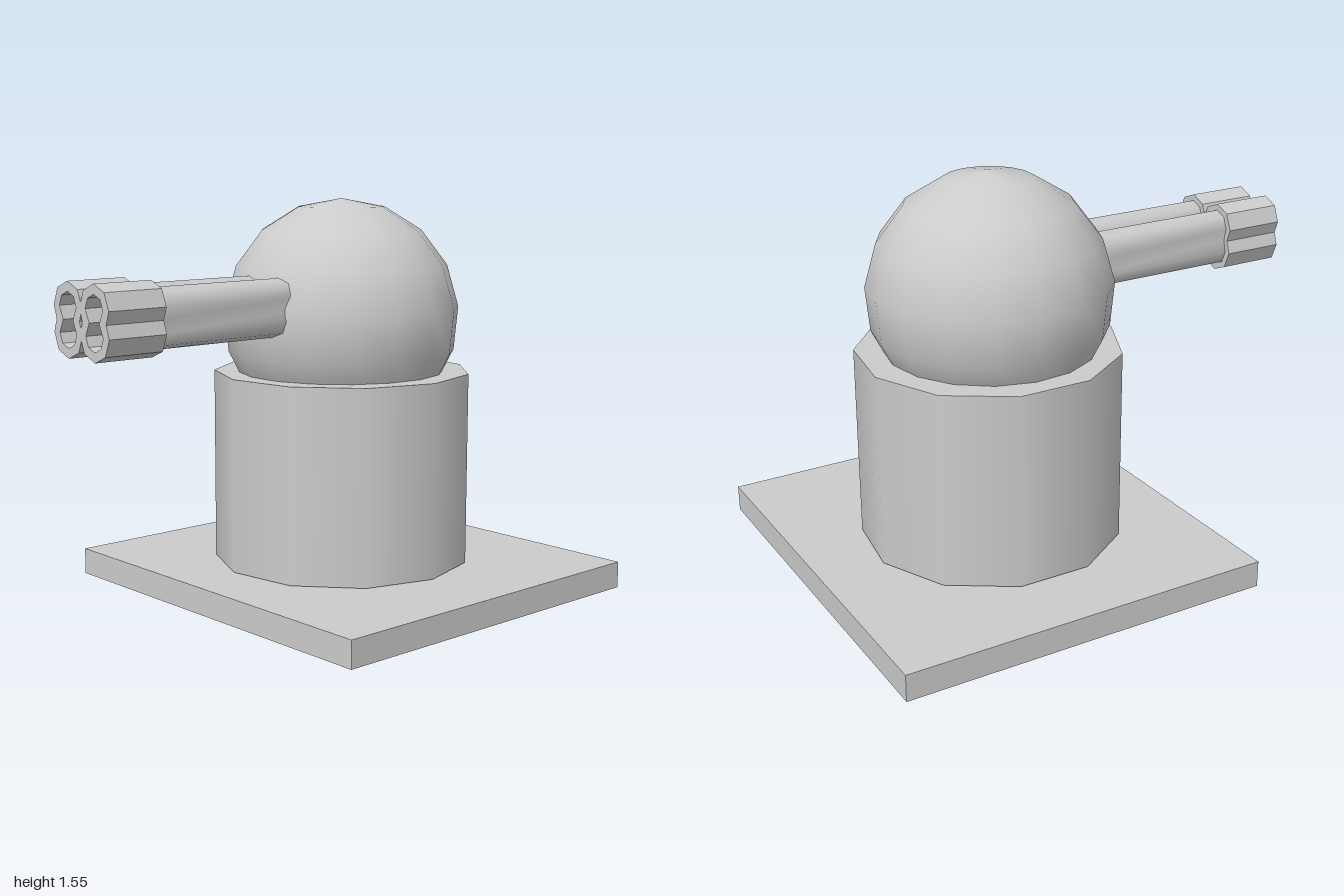
import * as THREE from 'three';
import { toCreasedNormals } from 'three/addons/utils/BufferGeometryUtils.js';

const material = new THREE.MeshStandardMaterial({ color: 0xcccccc });

function addPart(group, name, geometry, x, y, z) {
  const mesh = new THREE.Mesh(geometry, material);
  mesh.name = name;
  mesh.position.set(x, y, z);
  group.add(mesh);
  return mesh;
}

// Outline of two stacked half octagons joined at a narrow waist
function figureEight(radius, waist, lift = 0.0475) {
  const points = [];
  for (const side of [1, -1]) {
    for (let i = 0; i <= 4; i++) {
      const a = (i * Math.PI) / 4;
      points.push(new THREE.Vector2(side * radius * Math.cos(a), side * (lift + radius * Math.sin(a))));
    }
    points.push(new THREE.Vector2(-side * waist, 0));
  }
  return points;
}

function extrude(shape, depth) {
  return new THREE.ExtrudeGeometry(shape, { depth, bevelEnabled: false });
}

export function createModel() {
  const model = new THREE.Group();
  model.name = 'gunTurret';

  // Square ground plate
  addPart(model, 'basePlate', new THREE.BoxGeometry(1.6, 0.105, 1.48), 0, 0.0525, -0.26);

  // Eleven-sided drum with smooth sides
  const drum = new THREE.CylinderGeometry(0.51, 0.51, 0.76, 11, 1, false, Math.PI / 2);
  addPart(model, 'drum', drum, -0.02, 0.49, -0.245);

  // Dome: half of a 17-sided profile, turned in 17 steps
  const profile = [new THREE.Vector2(0, -0.46)];
  for (let i = 8; i >= 0; i--) {
    const a = (i * 2 * Math.PI) / 17;
    profile.push(new THREE.Vector2(0.468 * Math.sin(a), 0.468 * Math.cos(a)));
  }
  addPart(model, 'dome', new THREE.LatheGeometry(profile, 17, Math.PI), -0.02, 1.082, -0.237);

  // Twin double barrels, each with a hollow faceted muzzle
  const barrel = toCreasedNormals(extrude(new THREE.Shape(figureEight(0.063, 0.052)), 0.76), 1.0);
  const muzzleShape = new THREE.Shape(figureEight(0.088, 0.071));
  muzzleShape.holes.push(new THREE.Path(figureEight(0.052, 0.03).reverse()));
  const muzzle = extrude(muzzleShape, 0.24);

  for (const [side, x] of [['left', 0.077], ['right', -0.083]]) {
    addPart(model, side + 'Barrel', barrel, x, 1.153, 0);
    addPart(model, side + 'Muzzle', muzzle, x, 1.153, 0.76);
  }
  return model;
}
